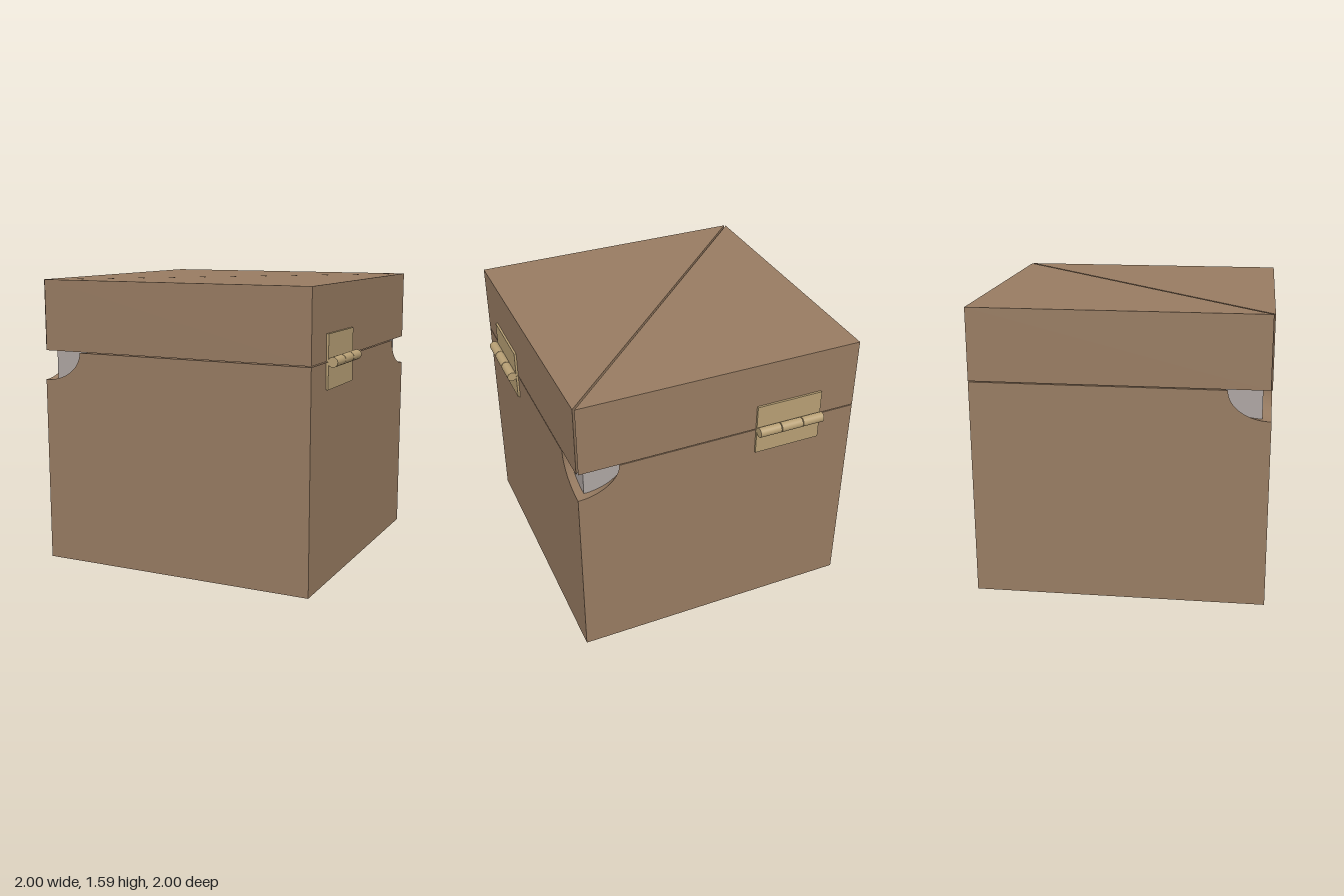
import * as THREE from 'three';
import { toCreasedNormals } from 'three/addons/utils/BufferGeometryUtils.js';

const H = 0.794;        // half the box width
const T = 0.047;        // wall thickness
const RIM = 1.195;      // top of the walls
const LID_Y = 1.2;      // underside of the lid
const LID_H = 0.392;
const GAP = 0.008;      // diagonal seam between the lid halves

export function createModel() {
  const mat = (name, color) => new THREE.MeshStandardMaterial({ name, color });
  const wood = mat('brown wood', 0x987c62);
  const brass = mat('brass', 0xb8a075);
  const grey = mat('grey liner', 0xaea6a3);

  const add = (parent, name, geometry, material, x = 0, y = 0, z = 0) => {
    const mesh = new THREE.Mesh(geometry, material);
    mesh.name = name;
    mesh.position.set(x, y, z);
    parent.add(mesh);
    return mesh;
  };

  // Mitred wall with a finger notch bored diagonally through one upper corner
  const wallGeometry = (side) => {
    const rx = 0.226, ry = 0.16;
    const s = new THREE.Shape();
    s.moveTo(-side * H, 0);
    s.lineTo(side * H, 0);
    s.lineTo(side * H, RIM - ry);
    s.absellipse(side * H, RIM, rx, ry, -Math.PI / 2, side > 0 ? -Math.PI : 0, side > 0);
    s.lineTo(-side * H, RIM);
    s.closePath();
    const g = new THREE.ExtrudeGeometry(s, { depth: T, bevelEnabled: false, curveSegments: 20 });
    const p = g.attributes.position;
    for (let i = 0; i < p.count; i++) {
      if (p.getZ(i) < T / 2) p.setX(i, p.getX(i) - Math.sign(p.getX(i)) * T);
    }
    g.translate(0, 0, H - T);
    return toCreasedNormals(g, 0.5);
  };

  // Two leaves and a three-knuckle barrel, lying on a wall facing +z
  const makeHinge = () => {
    const hinge = new THREE.Group();
    hinge.name = 'hinge';
    const length = 0.38, leaf = 0.143, mid = 1.1975;
    for (const s of [-1, 1]) {
      add(hinge, s > 0 ? 'upperLeaf' : 'lowerLeaf', new THREE.BoxGeometry(length, leaf, 0.012), brass,
        0, mid + s * (leaf / 2 + 0.002), 0.006);
    }
    const knuckle = new THREE.CylinderGeometry(0.027, 0.027, 0.123, 24).rotateZ(Math.PI / 2);
    for (let i = -1; i <= 1; i++) add(hinge, 'knuckle', knuckle, brass, i * 0.1275, mid, 0.035);
    add(hinge, 'pin', new THREE.CylinderGeometry(0.02, 0.02, 0.36, 16).rotateZ(Math.PI / 2), brass, 0, mid, 0.035);
    return hinge;
  };

  const box = new THREE.Group();
  box.name = 'box';
  box.rotation.y = -Math.PI / 10;

  // Walls, alternating so the notches meet at two opposite corners
  for (let i = 0; i < 4; i++) {
    const side = new THREE.Group();
    side.name = 'side';
    side.rotation.y = i * Math.PI / 2;
    const notch = i % 2 ? 1 : -1;
    add(side, 'wall', wallGeometry(notch), wood);
    if (i === 1 || i === 2) {
      const hinge = makeHinge();
      hinge.position.set(-notch * 0.394, 0, H);
      side.add(hinge);
    }
    box.add(side);
  }

  // Floor and inner liner seen through the notches
  const inner = 2 * (H - T);
  add(box, 'floor', new THREE.BoxGeometry(inner, T, inner), wood, 0, T / 2, 0);
  add(box, 'liner', new THREE.BoxGeometry(inner, LID_Y - T, inner), grey, 0, (LID_Y + T) / 2, 0);

  // Lid split along the diagonal into two triangular halves
  const triangle = new THREE.Shape([
    new THREE.Vector2(H, -H),
    new THREE.Vector2(H, H - GAP),
    new THREE.Vector2(-H + GAP, -H),
  ]);
  const lid = new THREE.ExtrudeGeometry(triangle, { depth: LID_H, bevelEnabled: false }).rotateX(-Math.PI / 2);
  for (let i = 0; i < 2; i++) add(box, 'lidHalf', lid, wood, 0, LID_Y, 0).rotation.y = i * Math.PI;

  const model = new THREE.Group();
  model.name = 'hingedBox';
  model.add(box);
  return model;
}
